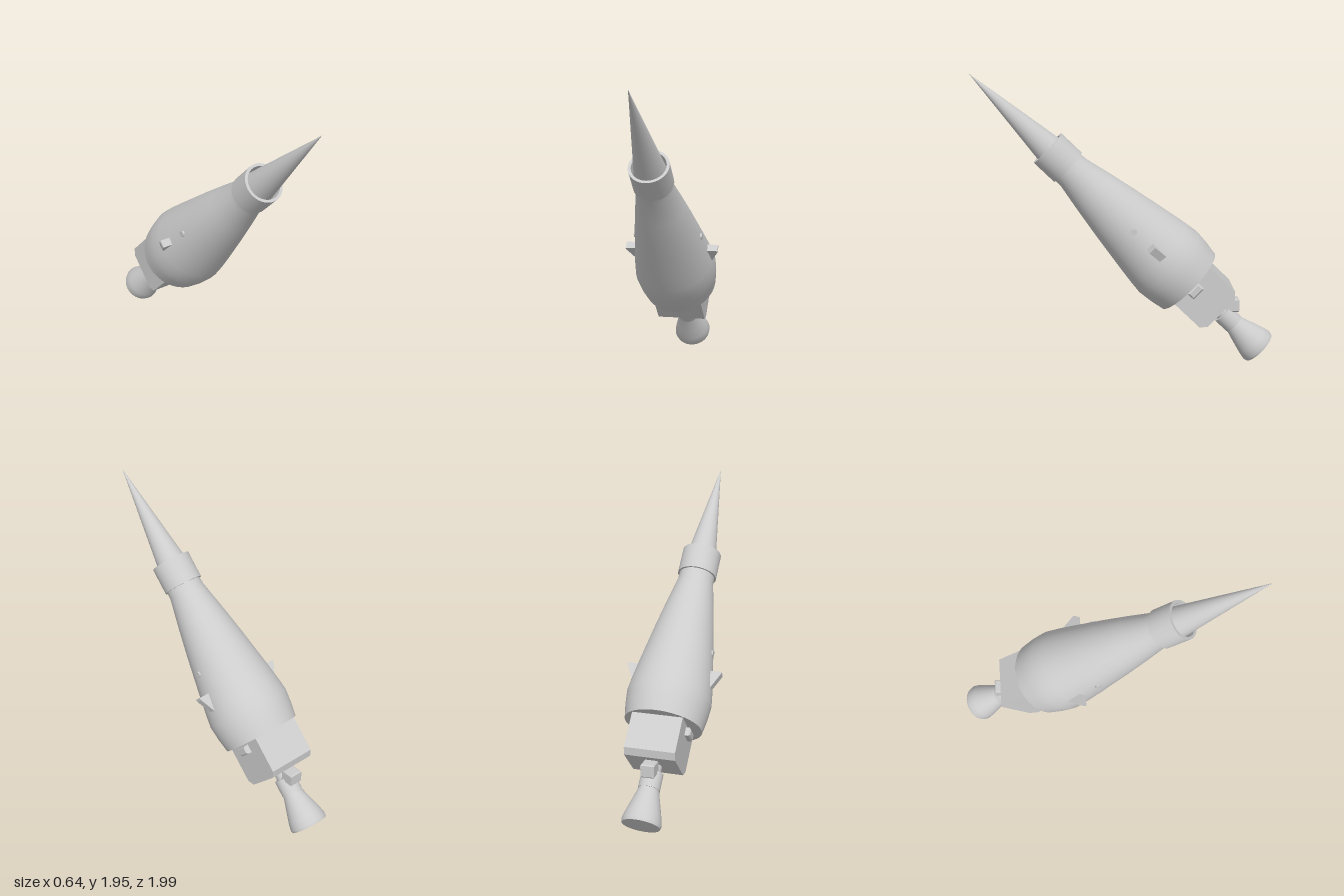
import * as THREE from 'three';
import { toCreasedNormals } from 'three/addons/utils/BufferGeometryUtils.js';

export function createModel() {
  const model = new THREE.Group();
  const grey = new THREE.MeshStandardMaterial({ color: 0xcccccc });
  grey.name = 'light grey';

  // The craft is built upright along y from the nozzle mouth, then tilted nose up and forward
  const craft = new THREE.Group();
  craft.name = 'craft';
  craft.rotation.set(0.8, 0.104, 0, 'YXZ');
  craft.position.set(-0.08, 0.095, -0.91);
  model.add(craft);

  function add(name, geometry, x = 0, y = 0, z = 0) {
    const mesh = new THREE.Mesh(geometry, grey);
    mesh.name = name;
    mesh.position.set(x, y, z);
    craft.add(mesh);
    return mesh;
  }
  // Profile of [radius, height] pairs, outside listed from bottom to top
  function turned(profile, segments = 40) {
    const points = profile.map(([r, y]) => new THREE.Vector2(r, y));
    return toCreasedNormals(new THREE.LatheGeometry(points, segments), 0.6);
  }
  // Outline of [a, y] pairs, extruded and centred through its depth
  function slab(outline, depth, bevel = 0) {
    const shape = new THREE.Shape(outline.map(([a, y]) => new THREE.Vector2(a, y)));
    const g = new THREE.ExtrudeGeometry(shape, {
      depth: depth - 2 * bevel, bevelEnabled: bevel > 0, bevelSize: bevel,
      bevelThickness: bevel, bevelOffset: -bevel, bevelSegments: 1,
    });
    return g.translate(0, 0, -depth / 2 + bevel);
  }

  // Hull, collar and nose spike
  add('hull', turned([[0, 0.677], [0.255, 0.677], [0.271, 0.77], [0.28, 0.867], [0.268, 0.96],
    [0.25, 1.07], [0.2, 1.354], [0.162, 1.55], [0.122, 1.74], [0.118, 1.82], [0, 1.82]]));
  add('collar', turned([[0.11, 1.79], [0.132, 1.79], [0.132, 1.972], [0.113, 1.972], [0.11, 1.79]]));
  add('noseSpike', turned([[0, 1.8], [0.121, 1.8], [0, 2.67]]));

  // Engine block, chamfered on its upper and lower rear edges
  const block = slab([[-0.155, 0.436], [-0.115, 0.4], [0.14, 0.4], [0.18, 0.436],
    [0.18, 0.7], [-0.155, 0.7]], 0.335);
  add('engineBlock', block.rotateY(Math.PI / 2));

  // Exhaust pipe, sleeve and flared nozzle
  add('exhaustPipe', new THREE.CylinderGeometry(0.052, 0.052, 0.1, 24), 0, 0.37, 0);
  add('sleeve', new THREE.CylinderGeometry(0.071, 0.071, 0.11, 32), 0, 0.295, 0);
  add('nozzle', turned([[0, 0], [0.123, 0], [0.128, 0.02], [0.117, 0.07], [0.096, 0.14],
    [0.073, 0.215], [0.066, 0.243], [0, 0.243]]));

  // Square elbow between the block and the sleeve
  const elbow = slab([[-0.045, -0.045], [0.045, -0.045], [0.045, 0.045], [-0.045, 0.045]], 0.09, 0.008);
  add('elbow', elbow.rotateX(Math.PI / 4), 0, 0.345, -0.088);

  // Mirrored side details
  for (const [side, s] of [['left', 1], ['right', -1]]) {
    // Wedge with its flat end towards the nose
    const outline = [[0.22, 0.95], [0.262, 0.95], [0.318, 1.06], [0.318, 1.075], [0.22, 1.075]];
    const wedge = add(side + 'Wedge', slab(outline, 0.052), 0, 0, -0.022);
    if (s < 0) wedge.rotation.y = Math.PI;

    // Rivet on the hull
    const rivet = new THREE.CylinderGeometry(0.02, 0.02, 0.03, 16).rotateZ(Math.PI / 2);
    add(side + 'Rivet', rivet, s * 0.218, 1.214, -0.016);

    // Lug on the engine block, tucked under the hull
    const lug = slab([[-0.05, -0.028], [0.05, -0.028], [0.05, 0.028], [-0.05, 0.028]], 0.06, 0.01);
    add(side + 'Lug', lug.rotateY(Math.PI / 2), s * 0.172, 0.634, -0.008);
  }
  return model;
}
